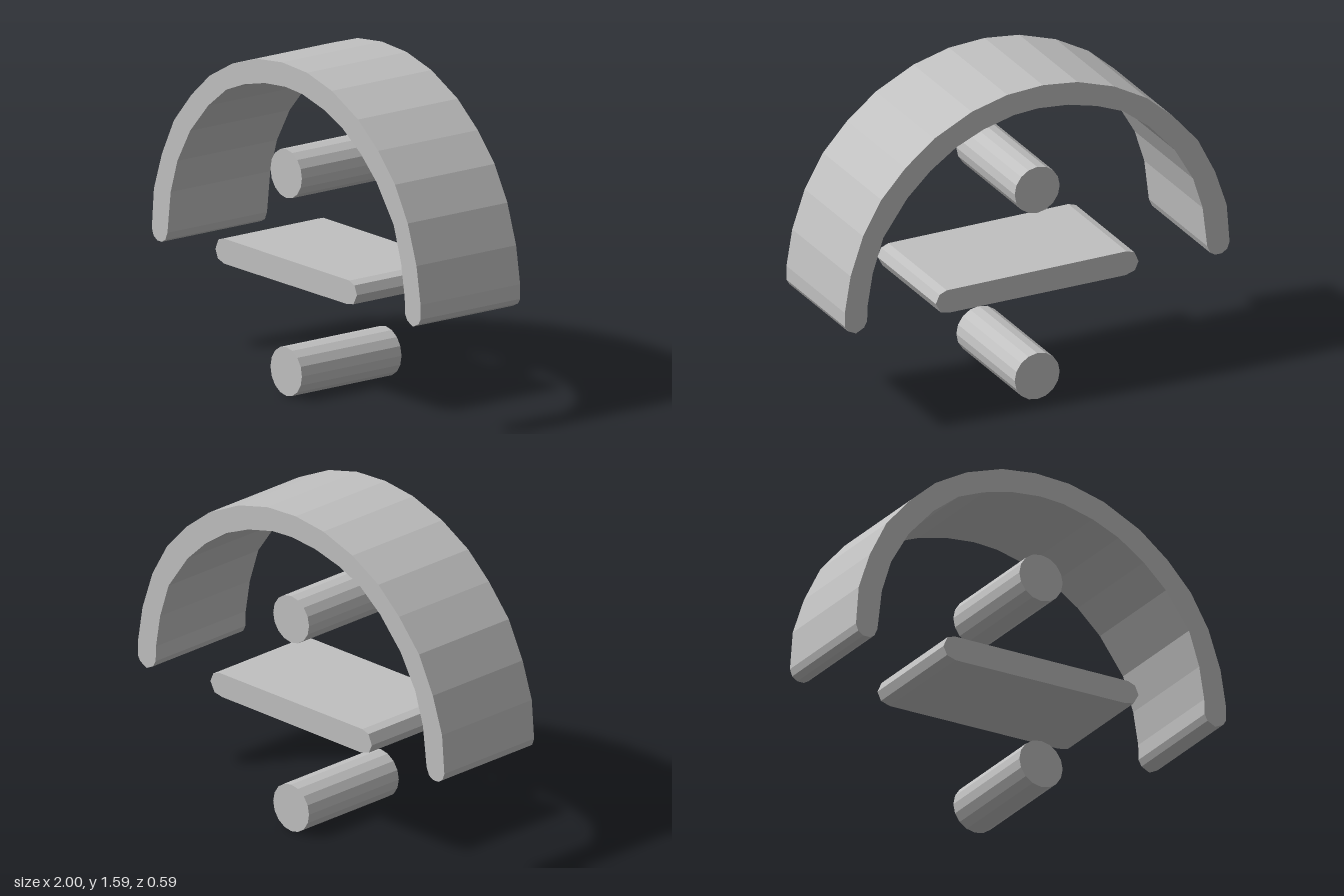
import * as THREE from 'three';

const HALF_DEPTH = 0.293;

export function createModel() {
  const group = new THREE.Group();
  const grey = new THREE.MeshStandardMaterial({ color: 0xc0c0c0 });
  grey.name = 'light grey';
  grey.flatShading = true;

  // extrude an outline of [x, y] points through the common depth
  const slab = (name, points) => {
    const shape = new THREE.Shape(points.map(([x, y]) => new THREE.Vector2(x, y)));
    const geometry = new THREE.ExtrudeGeometry(shape, { depth: HALF_DEPTH * 2, bevelEnabled: false });
    geometry.translate(0, 0, -HALF_DEPTH);
    const mesh = new THREE.Mesh(geometry, grey);
    mesh.name = name;
    group.add(mesh);
  };

  // arch: outer curve left to right, right foot, inner curve back, left foot
  slab('arch', [
    [-1, 0.59], [-0.985, 0.78], [-0.925, 0.96], [-0.835, 1.14], [-0.705, 1.29], [-0.57, 1.41],
    [-0.4, 1.505], [-0.21, 1.568], [-0.03, 1.59], [0.155, 1.58], [0.34, 1.533], [0.535, 1.438],
    [0.685, 1.32], [0.81, 1.185], [0.905, 1.02], [0.97, 0.83], [1, 0.65], [1, 0.58],
    [0.985, 0.555], [0.942, 0.534], [0.9, 0.555], [0.884, 0.585],
    [0.882, 0.66], [0.855, 0.82], [0.8, 0.99], [0.675, 1.165], [0.555, 1.278], [0.42, 1.37],
    [0.28, 1.43], [0.12, 1.47], [-0.005, 1.478], [-0.16, 1.463], [-0.31, 1.425], [-0.445, 1.37],
    [-0.58, 1.265], [-0.715, 1.115], [-0.81, 0.95], [-0.86, 0.79], [-0.884, 0.59],
    [-0.9, 0.553], [-0.925, 0.538], [-0.96, 0.538], [-0.988, 0.556],
  ]);

  // horizontal bar with faceted rounded ends
  slab('crossBar', [
    [-0.527, 0.59], [-0.505, 0.64], [-0.465, 0.653], [0.47, 0.653], [0.508, 0.638],
    [0.527, 0.595], [0.5, 0.546], [0.45, 0.537], [-0.46, 0.533], [-0.508, 0.548],
  ]);

  // two round rods running front to back
  for (const [name, y] of [['upperRod', 1.064], ['lowerRod', 0.117]]) {
    const geometry = new THREE.CylinderGeometry(0.117, 0.117, HALF_DEPTH * 2, 16);
    geometry.rotateX(Math.PI / 2);
    const rod = new THREE.Mesh(geometry, grey);
    rod.name = name;
    rod.position.y = y;
    group.add(rod);
  }

  return group;
}
